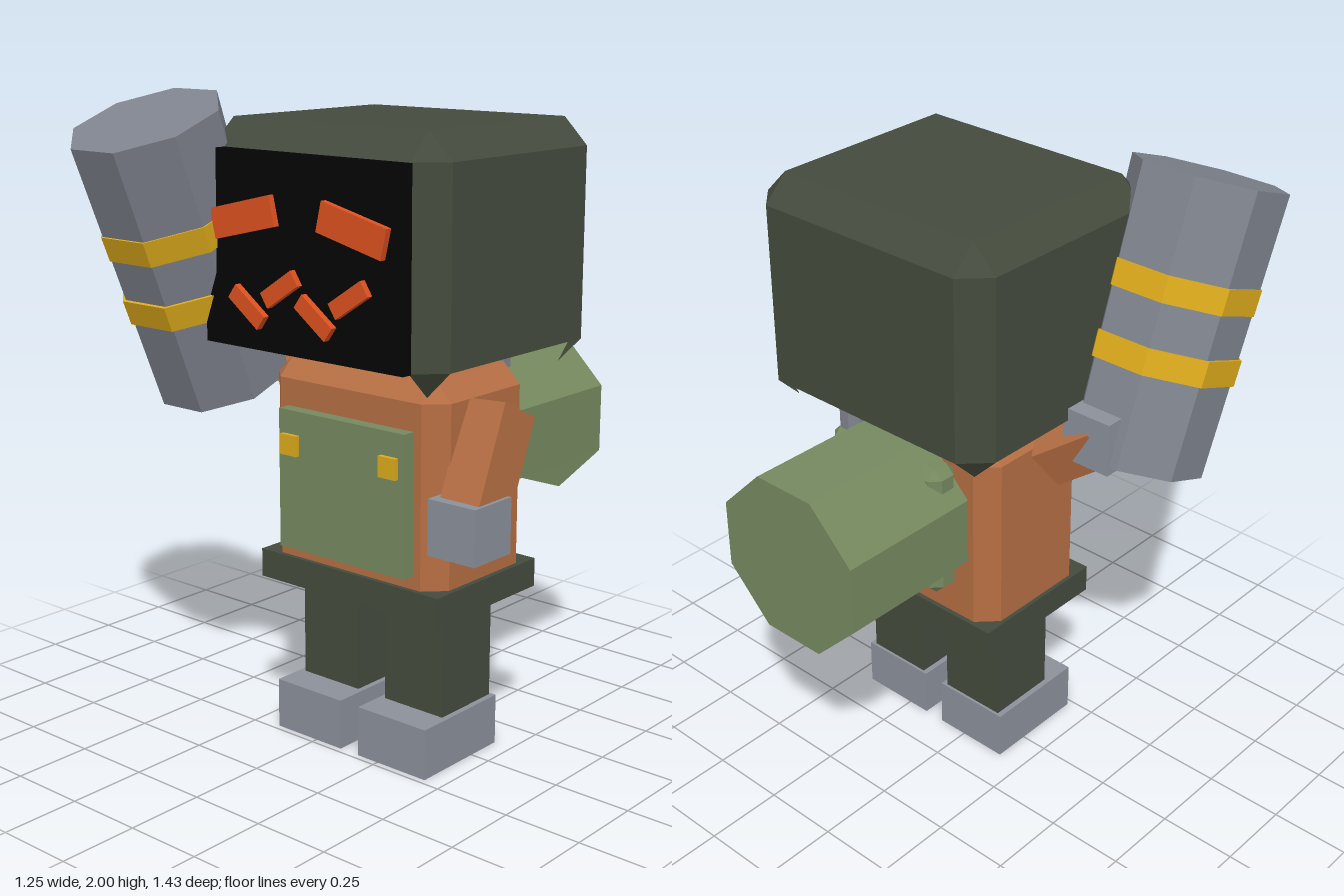
import * as THREE from 'three';
import { ConvexGeometry } from 'three/addons/geometries/ConvexGeometry.js';

// Double-sided because many parts are hollow shells open underneath
const paint = (name, color) => {
  const m = new THREE.MeshStandardMaterial({ color, side: THREE.DoubleSide });
  m.name = name;
  return m;
};

// Flat-shaded copy of a geometry, optionally without its downward faces
function flat(geometry, openBelow = false) {
  const g = geometry.index ? geometry.toNonIndexed() : geometry;
  const p = g.attributes.position;
  const kept = [];
  const [a, b, c] = [0, 1, 2].map(() => new THREE.Vector3());
  const n = new THREE.Vector3();
  for (let i = 0; i < p.count; i += 3) {
    [a, b, c].forEach((v, k) => v.fromBufferAttribute(p, i + k));
    new THREE.Triangle(a, b, c).getNormal(n);
    if (openBelow && n.y < -0.6) continue;
    for (const v of [a, b, c]) kept.push(v.x, v.y, v.z);
  }
  const out = new THREE.BufferGeometry();
  out.setAttribute('position', new THREE.Float32BufferAttribute(kept, 3));
  out.computeVertexNormals();
  return out;
}

// Box with cut edges and corners, open underneath
function chamferBox(w, h, d, cut) {
  const pts = [];
  for (const x of [-1, 1]) for (const y of [-1, 1]) for (const z of [-1, 1]) {
    for (let full = 0; full < 3; full++) {
      const size = [w, h, d].map((s, i) => s / 2 - (i === full ? 0 : cut));
      pts.push(new THREE.Vector3(x * size[0], y * size[1], z * size[2]));
    }
  }
  return flat(new ConvexGeometry(pts), true);
}

// Plain box, open underneath
const openBox = (w, h, d) => flat(new THREE.BoxGeometry(w, h, d), true);

// Eight-sided cylinder with flats facing the axes
const octagon = (rTop, rBottom, h) => new THREE.CylinderGeometry(rTop, rBottom, h, 8).rotateY(Math.PI / 8);

export function createModel() {
  const dark = paint('dark green', 0x444b3d);
  const orange = paint('rust orange', 0xb56e43);
  const green = paint('moss green', 0x76895f);
  const gray = paint('steel gray', 0x7f838d);
  const lightGray = paint('light gray', 0x8b909a);
  const yellow = paint('yellow', 0xdcaa1c);
  const black = paint('black', 0x040404);
  const glow = paint('bright orange', 0xdc501f);

  const model = new THREE.Group();
  const cx = 0.137; // body centre line
  const add = (name, geometry, material, x, y, z, parent = model) => {
    const mesh = new THREE.Mesh(geometry, material);
    mesh.name = name;
    mesh.position.set(x, y, z);
    parent.add(mesh);
    return mesh;
  };
  const box = (name, w, h, d, material, x, y, z) =>
    add(name, new THREE.BoxGeometry(w, h, d), material, x, y, z);

  // Head and face
  add('head', chamferBox(0.89, 0.73, 0.79, 0.08), dark, cx, 1.565, 0.003);
  box('facePlate', 0.75, 0.57, 0.034, black, cx, 1.565, 0.418);
  for (const s of [-1, 1]) {
    box('eye', 0.24, 0.09, 0.03, glow, cx + 0.205 * s, 1.662, 0.44).rotation.z = -s * 0.235;
  }
  for (let i = 0; i < 4; i++) {
    const up = i % 2;
    box('mouthBar', 0.14, 0.05, 0.03, glow, cx - 0.193 + 0.129 * i, up ? 1.47 : 1.405, 0.44)
      .rotation.z = up ? 0.58 : -0.63;
  }

  // Torso, belt, front panel
  add('torso', chamferBox(0.67, 0.72, 0.45, 0.06), orange, cx, 0.85, 0.005);
  add('belt', openBox(0.70, 0.09, 0.48), dark, cx + 0.002, 0.545, 0.005);
  box('chestPanel', 0.49, 0.435, 0.05, green, cx + 0.003, 0.848, 0.247);
  for (const s of [-1, 1]) {
    box('panelButton', 0.064, 0.064, 0.03, yellow, cx + 0.193 * s, 0.96, 0.272);
    // Legs standing in hollow feet
    box('leg', 0.225, 0.42, 0.235, dark, cx + 0.167 * s, 0.27, 0.007);
    add('foot', openBox(0.262, 0.16, 0.35), lightGray, cx + 0.167 * s, 0.08, 0.055);
  }

  // Arms reaching from shoulder to hand
  const arm = (name, from, to) => {
    const a = new THREE.Vector3(...from), b = new THREE.Vector3(...to);
    const dir = b.clone().sub(a);
    const mid = a.clone().addScaledVector(dir, 0.5);
    const mesh = box(name, 0.14, dir.length(), 0.16, orange, mid.x, mid.y, mid.z);
    mesh.quaternion.setFromUnitVectors(new THREE.Vector3(0, -1, 0), dir.normalize());
  };
  arm('leftArm', [0.527, 1.12, 0.01], [0.545, 0.81, 0.165]);
  box('leftHand', 0.17, 0.17, 0.17, lightGray, 0.538, 0.8, 0.165);
  arm('rightArm', [-0.21, 1.12, 0.04], [-0.37, 1.23, 0.1]);
  box('rightHand', 0.17, 0.17, 0.17, lightGray, -0.375, 1.235, 0.09);

  // Club with two bands
  const club = new THREE.Group();
  club.name = 'club';
  club.position.set(-0.404, 1.515, 0.353);
  club.rotation.x = 0.36;
  model.add(club);
  add('clubBody', flat(octagon(0.237, 0.217, 0.87)), gray, 0, 0, 0, club);
  for (const y of [-0.102, 0.112]) {
    add('clubBand', flat(octagon(0.236, 0.234, 0.08)), yellow, 0, y, 0, club);
  }

  // Backpack base, big roll and post
  add('packBase', chamferBox(0.45, 0.44, 0.11, 0.03), green, cx, 0.93, -0.275);
  add('packRoll', flat(octagon(0.285, 0.285, 0.485).rotateX(Math.PI / 2), true), green, cx, 0.928, -0.4725);
  add('packPost', flat(octagon(0.046, 0.046, 0.36)), gray, 0.294, 1.34, -0.28);

  return model;
}
